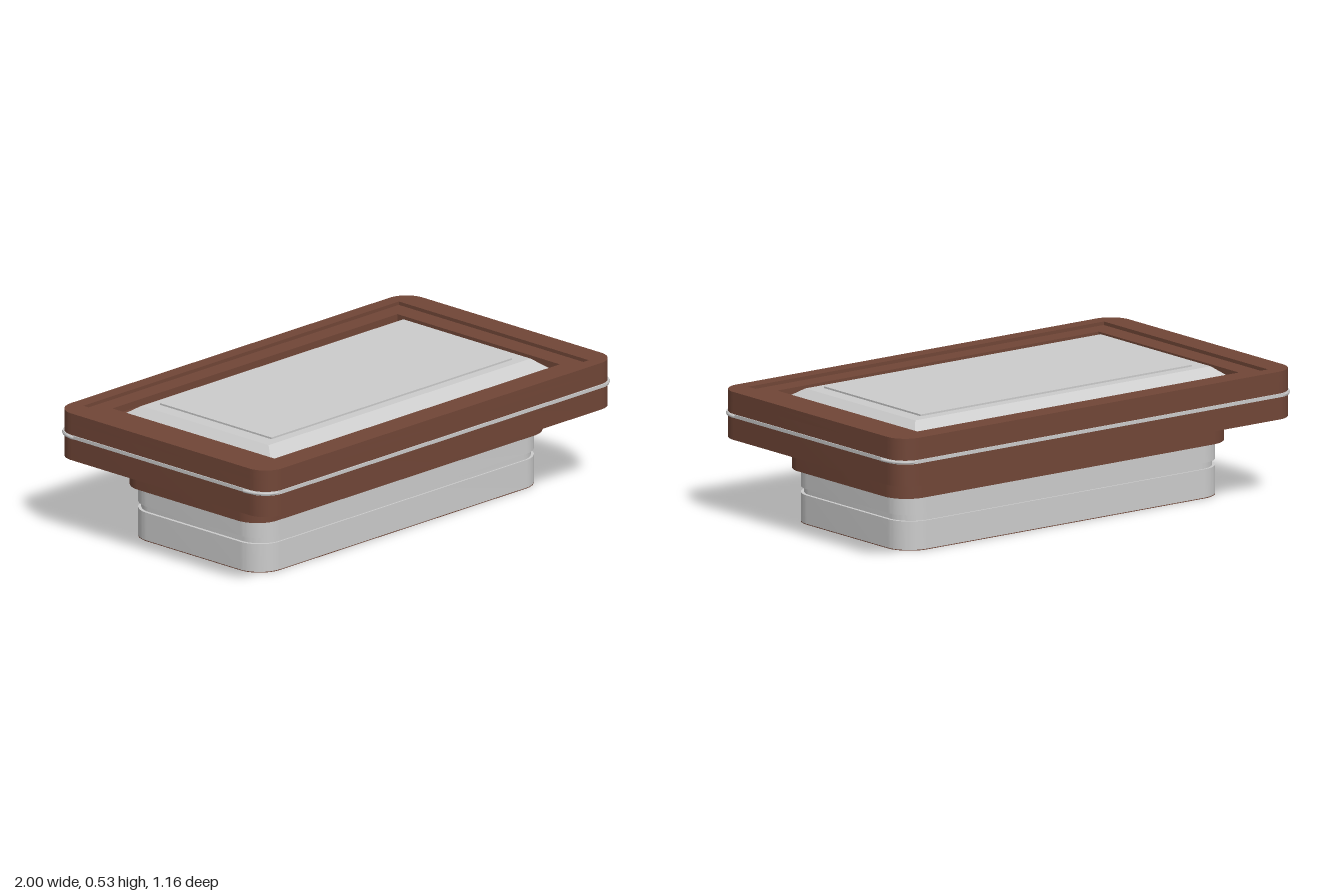
import * as THREE from 'three';
import { toCreasedNormals } from 'three/addons/utils/BufferGeometryUtils.js';

const grey = new THREE.MeshStandardMaterial({ color: 0xcccccc });
const brown = new THREE.MeshStandardMaterial({ color: 0x714637 });

// Rounded rectangle outline with half sizes hx, hz and corner radius r
function outline(hx, hz, r) {
  const s = new THREE.Shape();
  s.moveTo(hx, -hz + r);
  s.absarc(hx - r, hz - r, r, 0, Math.PI / 2);
  s.absarc(-hx + r, hz - r, r, Math.PI / 2, Math.PI);
  s.absarc(-hx + r, -hz + r, r, Math.PI, Math.PI * 1.5);
  s.absarc(hx - r, -hz + r, r, Math.PI * 1.5, Math.PI * 2);
  return s;
}

function rectHole(hx, hz) {
  return new THREE.Path([[-hx, -hz], [-hx, hz], [hx, hz], [hx, -hz]].map(p => new THREE.Vector2(...p))).closePath();
}

export function createModel() {
  const model = new THREE.Group();

  function add(name, geometry, material, parent = model) {
    const mesh = new THREE.Mesh(geometry, material);
    mesh.name = name;
    parent.add(mesh);
    return mesh;
  }

  // Upright slab between two heights, optionally with a rectangular opening
  function slab(name, hx, hz, r, y0, y1, material, hole) {
    const shape = outline(hx, hz, r);
    if (hole) shape.holes.push(rectHole(...hole));
    const g = new THREE.ExtrudeGeometry(shape, { depth: y1 - y0, bevelEnabled: false, curveSegments: 10 });
    g.rotateX(-Math.PI / 2).translate(0, y0, 0);
    return add(name, toCreasedNormals(g, 0.6), material);
  }

  // Pedestal with a shallow groove
  slab('basePlate', 0.8, 0.363, 0.11, 0, 0.003, brown);
  slab('pedestalLower', 0.8, 0.363, 0.11, 0.003, 0.117, grey);
  slab('pedestalGroove', 0.787, 0.356, 0.105, 0.117, 0.142, grey);
  slab('pedestalUpper', 0.8, 0.363, 0.11, 0.142, 0.215, grey);
  slab('collar', 0.83, 0.38, 0.11, 0.215, 0.325, brown);

  // Table slab, stepping down towards the panel
  slab('tray', 0.985, 0.573, 0.09, 0.325, 0.475, brown);
  slab('innerStep', 0.985, 0.573, 0.09, 0.475, 0.503, brown, [0.8, 0.44]);
  slab('outerRim', 0.985, 0.573, 0.09, 0.503, 0.517, brown, [0.885, 0.515]);

  // Trim band with slightly flared corner pieces
  slab('trimBand', 0.989, 0.578, 0.09, 0.415, 0.429, grey);
  const corners = new THREE.Group();
  corners.name = 'trimCorners';
  model.add(corners);
  for (const sx of [-1, 1]) for (const sz of [-1, 1]) {
    const pts = [];
    for (let i = 0; i <= 10; i++) {
      const a = (i / 10) * Math.PI / 2;
      pts.push(new THREE.Vector3(sx * (0.91 + 0.083 * Math.cos(a)), 0.422, sz * (0.46 + 0.111 * Math.sin(a))));
    }
    add('trimCorner', new THREE.TubeGeometry(new THREE.CatmullRomCurve3(pts), 16, 0.007, 8), grey, corners);
  }

  // Panel with sloping edges: the top of a box is drawn in
  const panel = new THREE.BoxGeometry(1.58, 0.045, 0.826);
  const p = panel.attributes.position;
  for (let i = 0; i < p.count; i++) {
    if (p.getY(i) > 0) p.setXYZ(i, Math.sign(p.getX(i)) * 0.735, p.getY(i), Math.sign(p.getZ(i)) * 0.345);
  }
  panel.computeVertexNormals();
  add('panel', panel, grey).position.y = 0.4975;
  add('panelTop', new THREE.BoxGeometry(1.35, 0.008, 0.606), grey).position.y = 0.523;

  return model;
}
